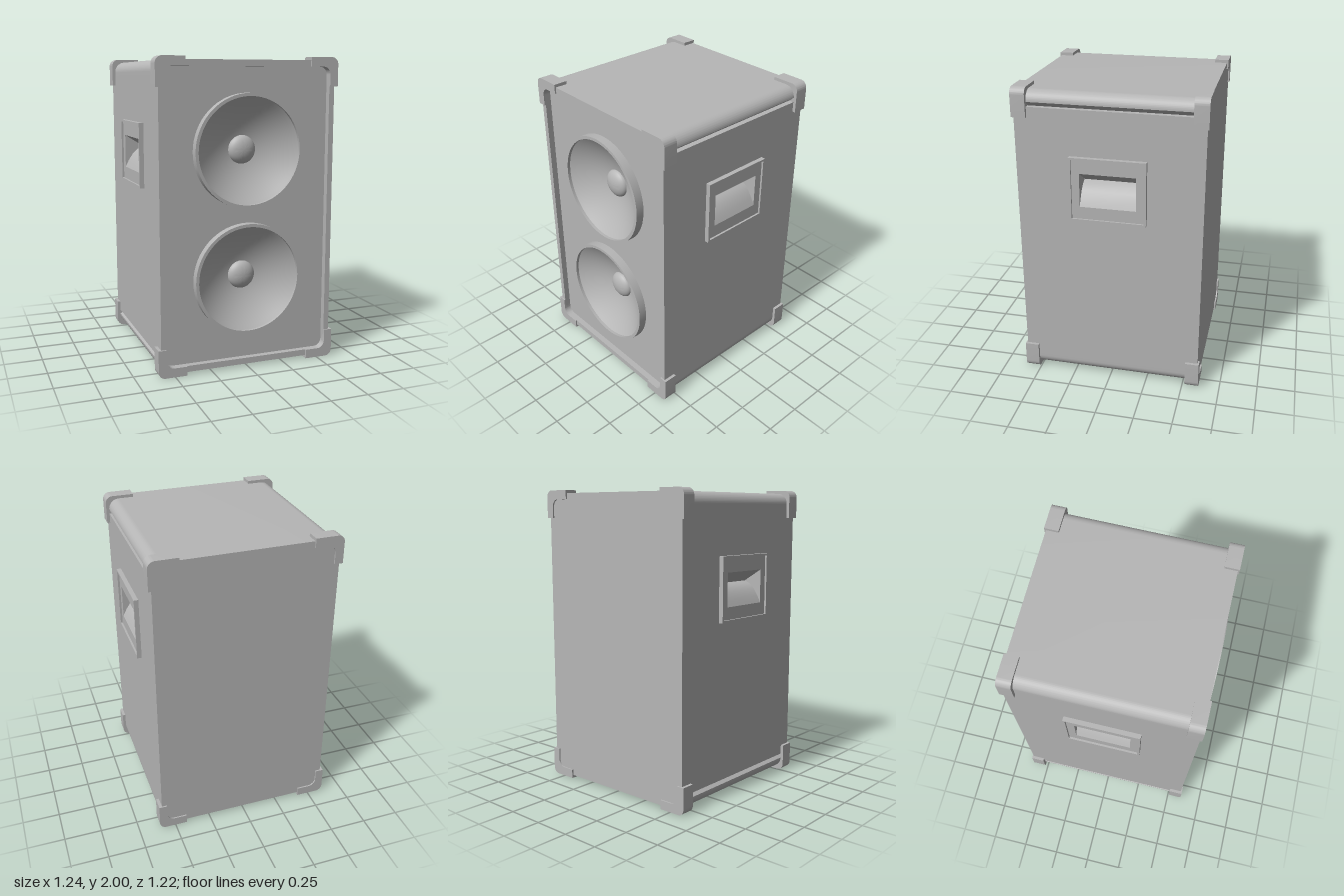
import * as THREE from 'three';
import { toCreasedNormals } from 'three/addons/utils/BufferGeometryUtils.js';

const grey = new THREE.MeshStandardMaterial({ color: 0xb6b6b6, side: THREE.DoubleSide });
grey.name = 'grey';

const W = 0.59, IN_W = 0.555;        // outer and inner half width of the cabinet
const BACK = -0.6, FRONT = 0.59;
const HANDLE_Y = 1.375;

function add(parent, name, geometry) {
  const mesh = new THREE.Mesh(toCreasedNormals(geometry, 0.6), grey);
  mesh.name = name;
  parent.add(mesh);
  return mesh;
}

// Rectangle with rounded corners, usable as outline or hole
function rect(cx, cy, w, h, r = 0, Type = THREE.Shape) {
  const p = new Type(), x = w / 2, y = h / 2;
  if (r === 0) {
    p.moveTo(cx - x, cy - y).lineTo(cx + x, cy - y).lineTo(cx + x, cy + y).lineTo(cx - x, cy + y);
    p.closePath();
    return p;
  }
  p.absarc(cx + x - r, cy + y - r, r, 0, Math.PI / 2);
  p.absarc(cx - x + r, cy + y - r, r, Math.PI / 2, Math.PI);
  p.absarc(cx - x + r, cy - y + r, r, Math.PI, Math.PI * 1.5);
  p.absarc(cx + x - r, cy - y + r, r, Math.PI * 1.5, Math.PI * 2);
  p.closePath();
  return p;
}

function extrude(shape, z0, z1) {
  return new THREE.ExtrudeGeometry(shape, { depth: z1 - z0, bevelEnabled: false, curveSegments: 12 })
    .translate(0, 0, z0);
}

// Extrusion pointing outwards on side s (+1 or -1) of the cabinet
function sideExtrude(shape, x0, x1, s) {
  return extrude(shape, x0, x1).rotateY(s * Math.PI / 2);
}

// Top or bottom of the shell, with rounded long edges
function capShape() {
  const p = new THREE.Shape(), q = Math.PI / 2;
  p.moveTo(W, 1.88);
  p.absarc(W - 0.07, 1.91, 0.07, 0, q);
  p.absarc(-W + 0.07, 1.91, 0.07, q, Math.PI);
  p.lineTo(-W, 1.88).lineTo(-IN_W, 1.88);
  p.absarc(-IN_W + 0.05, 1.89, 0.05, Math.PI, q, true);
  p.absarc(IN_W - 0.05, 1.89, 0.05, q, 0, true);
  p.lineTo(IN_W, 1.88);
  return p;
}

// L-shaped corner guard; sx and sy choose the corner
function guardShape(sx, sy) {
  const p = new THREE.Shape();
  const X = x => sx * x, Y = y => 1 + sy * y;
  p.moveTo(X(0.42), Y(1));
  p.lineTo(X(0.565), Y(1));
  p.bezierCurveTo(X(0.59), Y(1), X(0.61), Y(0.98), X(0.61), Y(0.955));
  p.lineTo(X(0.61), Y(0.815));
  p.lineTo(X(IN_W), Y(0.815));
  p.lineTo(X(IN_W), Y(0.89));
  p.bezierCurveTo(X(IN_W), Y(0.918), X(0.533), Y(0.94), X(0.505), Y(0.94));
  p.lineTo(X(0.42), Y(0.94));
  p.closePath();
  return p;
}

function createHandle(s) {
  const g = new THREE.Group();
  g.name = s > 0 ? 'leftHandle' : 'rightHandle';

  // Raised rim and the slightly sunken plate inside it
  const rim = rect(0, HANDLE_Y, 0.49, 0.42);
  rim.holes.push(rect(0, HANDLE_Y, 0.462, 0.392, 0, THREE.Path));
  add(g, 'handleRim', sideExtrude(rim, 0.58, 0.62, s));
  const plate = rect(0, HANDLE_Y, 0.464, 0.394);
  plate.holes.push(rect(0, 1.37, 0.36, 0.22, 0, THREE.Path));
  add(g, 'handlePlate', sideExtrude(plate, 0.58, 0.607, s));

  // Finger pocket: a strip bent along a profile, closed by two ends
  const profile = [[0.607, 1.26], [0.585, 1.305], [0.555, 1.35], [0.52, 1.383], [0.48, 1.4], [0.607, 1.48]];
  const strip = new THREE.PlaneGeometry(0.36, 1, 1, profile.length - 1);
  const pos = strip.attributes.position;
  for (let i = 0; i < pos.count; i++) {
    const [x, y] = profile[Math.floor(i / 2)];
    pos.setXYZ(i, s * x, y, pos.getX(i));
  }
  add(g, 'handlePocket', strip);
  const end = new THREE.Shape(profile.map(([x, y]) => new THREE.Vector2(s * x, y)));
  for (const z of [-0.18, 0.18]) add(g, 'pocketEnd', new THREE.ShapeGeometry(end).translate(0, 0, z));
  return g;
}

function createSpeaker(y) {
  const g = new THREE.Group();
  g.name = 'speaker';
  const V = (r, z) => new THREE.Vector2(r, z);

  // Mounting ring
  add(g, 'speakerRing', new THREE.LatheGeometry(
    [V(0.362, 0.54), V(0.362, 0.605), V(0.342, 0.605), V(0.342, 0.58)], 64).rotateX(Math.PI / 2));

  // Curved cone
  const cone = [];
  for (let i = 0; i <= 12; i++) {
    const r = 0.342 - 0.257 * i / 12;
    cone.push(V(r, 0.45 + 0.135 * (r / 0.342) ** 2));
  }
  add(g, 'speakerCone', new THREE.LatheGeometry(cone, 64).rotateX(Math.PI / 2));

  // Dust cap
  const dome = [];
  for (let i = 0; i <= 8; i++) {
    const a = i / 8 * Math.PI / 2;
    dome.push(V(0.093 * Math.cos(a), 0.457 + 0.05 * Math.sin(a)));
  }
  add(g, 'dustCap', new THREE.LatheGeometry(dome, 40).rotateX(Math.PI / 2));
  g.position.y = y;
  return g;
}

export function createModel() {
  const model = new THREE.Group();
  model.name = 'speakerCabinet';

  // Shell: top, bottom, and two sides with handle openings
  add(model, 'cabinetTop', extrude(capShape(), BACK, FRONT));
  add(model, 'cabinetBottom', extrude(capShape(), BACK, FRONT).translate(0, -1, 0).rotateZ(Math.PI).translate(0, 1, 0));
  for (const s of [1, -1]) {
    const side = rect(s * 0.005, 1, FRONT - BACK, 1.76);
    side.holes.push(rect(0, HANDLE_Y, 0.44, 0.37, 0, THREE.Path));
    add(model, s > 0 ? 'leftSide' : 'rightSide', sideExtrude(side, IN_W, W, s));
    model.add(createHandle(s));
  }

  // Back panel and recessed front baffle
  add(model, 'backPanel', extrude(rect(0, 1, 2 * IN_W, 1.88, 0.05), BACK, BACK + 0.03));
  const baffle = rect(0, 1, 2 * IN_W, 1.88, 0.05);
  const centres = [1.417, 0.592];
  for (const y of centres) baffle.holes.push(new THREE.Path().absarc(0, y, 0.35, 0, Math.PI * 2, true));
  add(model, 'frontBaffle', extrude(baffle, 0.53, 0.55));
  for (const y of centres) model.add(createSpeaker(y));

  // Eight corner guards
  for (const sx of [1, -1]) for (const sy of [1, -1]) {
    add(model, 'frontCornerGuard', extrude(guardShape(sx, sy), 0.507, 0.6));
    add(model, 'backCornerGuard', extrude(guardShape(sx, sy), -0.61, -0.518));
  }
  return model;
}
